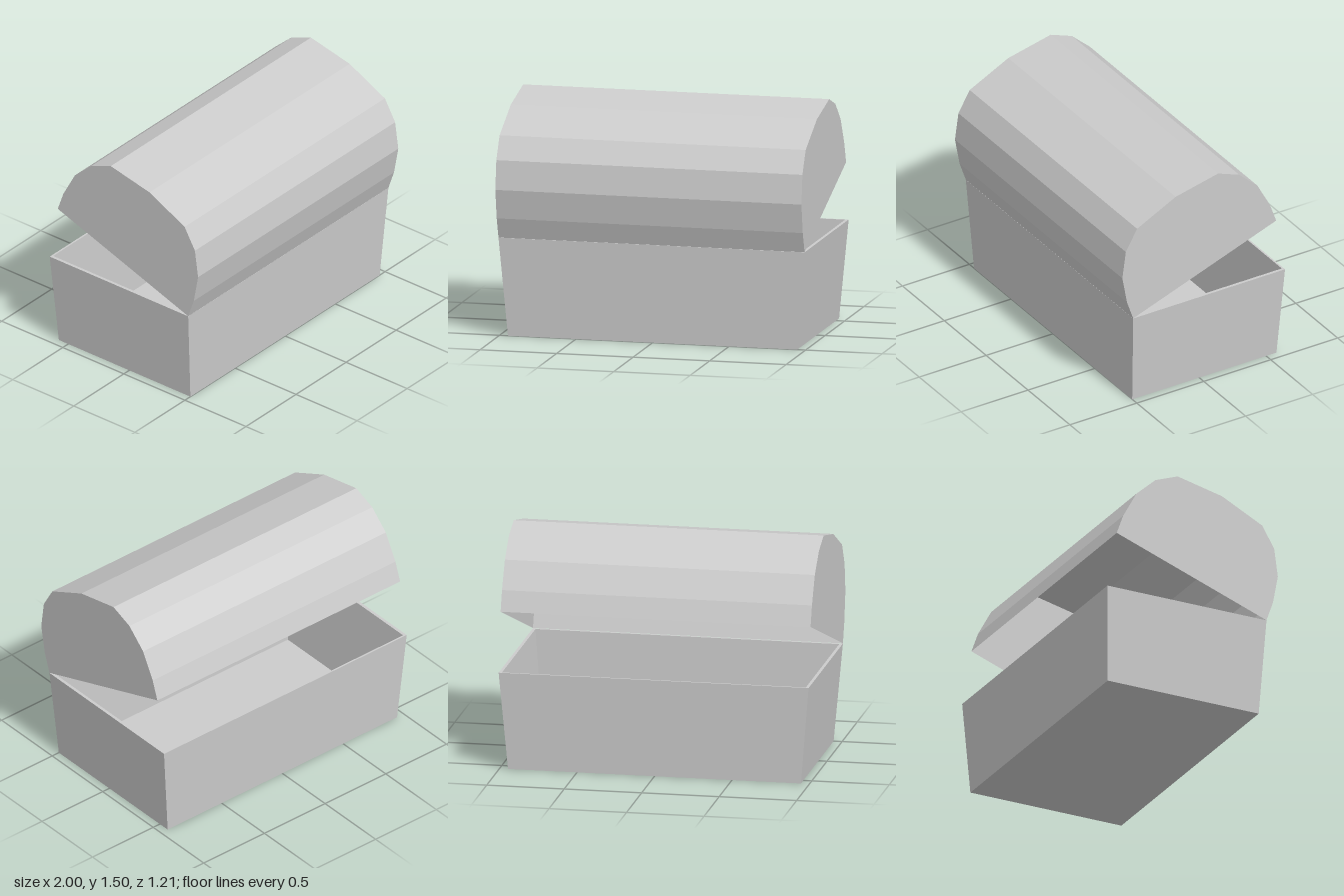
import * as THREE from 'three';

const material = new THREE.MeshStandardMaterial({ color: 0xcccccc, flatShading: true, side: THREE.DoubleSide });

// Rectangular ring of four corners, anticlockwise seen from above
const ring = (halfX, front, back, y) => [
  [halfX, y, front], [halfX, y, back], [-halfX, y, back], [-halfX, y, front],
];

function named(geometry, name) {
  const mesh = new THREE.Mesh(geometry, material);
  mesh.name = name;
  return mesh;
}

// Tapered open box: outer wall, flat rim, inner wall, floor
function createBase() {
  const rings = [
    ring(0.945, 0.5, -0.577, 0),
    ring(1, 0.527, -0.607, 0.635),
    ring(0.98, 0.507, -0.595, 0.635),
    ring(0.93, 0.485, -0.567, 0.02),
  ];
  const points = [];
  const quad = (a, b, c, d) => points.push(...a, ...b, ...c, ...a, ...c, ...d);
  for (let i = 0; i < rings.length - 1; i++) {
    for (let j = 0; j < 4; j++) {
      const k = (j + 1) % 4;
      quad(rings[i][j], rings[i][k], rings[i + 1][k], rings[i + 1][j]);
    }
  }
  quad(...rings[3]);
  quad(...[...rings[0]].reverse());
  const geometry = new THREE.BufferGeometry();
  geometry.setAttribute('position', new THREE.Float32BufferAttribute(points, 3));
  geometry.computeVertexNormals();
  return named(geometry, 'base');
}

// Tilted hollow lid, its arched profile given as [z, y] from back edge to hinge
function createLid() {
  const profile = [
    [-0.541, 1.017], [-0.495, 1.147], [-0.4, 1.322], [-0.265, 1.445], [-0.107, 1.505], [0.21, 1.434],
    [0.498, 1.29], [0.582, 1.145], [0.608, 0.958], [0.573, 0.768], [0.527, 0.636],
  ];
  const lid = new THREE.Group();
  lid.name = 'lid';

  // Curved shell: each row of a plane moved onto a profile point
  const plane = new THREE.PlaneGeometry(2, 1, 1, profile.length - 1);
  const position = plane.attributes.position;
  for (let i = 0; i < position.count; i++) {
    const [z, y] = profile[Math.floor(i / 2)];
    position.setXYZ(i, position.getX(i), y, z);
  }
  const shell = plane.toNonIndexed();
  shell.computeVertexNormals();
  lid.add(named(shell, 'lidShell'));

  // End panels, mirrored left and right
  const shape = new THREE.Shape(profile.map(([z, y]) => new THREE.Vector2(z, y)));
  const panel = new THREE.ShapeGeometry(shape).rotateY(-Math.PI / 2).translate(-1, 0, 0);
  for (const side of [1, -1]) {
    const end = named(panel, side > 0 ? 'lidEndRight' : 'lidEndLeft');
    end.scale.x = side;
    lid.add(end);
  }
  return lid;
}

export function createModel() {
  const chest = new THREE.Group();
  chest.name = 'chest';
  chest.add(createBase(), createLid());
  return chest;
}
